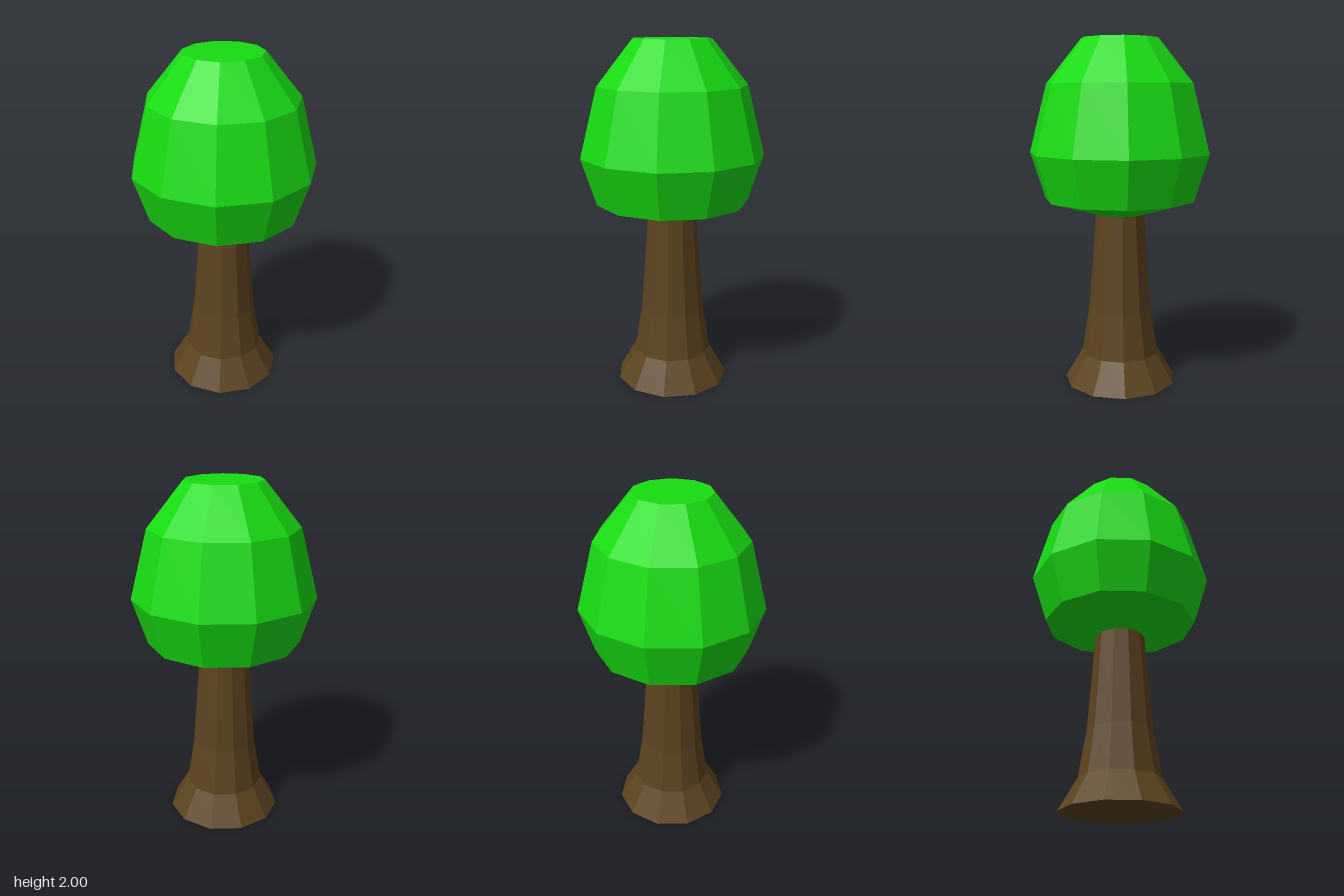
import * as THREE from 'three';

const SIDES = 11;

// Faceted solid of revolution, with one corner pointing to the back
function turned(name, color, profile) {
  const points = profile.map(([r, y]) => new THREE.Vector2(r, y));
  const geometry = new THREE.LatheGeometry(points, SIDES, Math.PI);
  const material = new THREE.MeshStandardMaterial({ color, flatShading: true });
  const mesh = new THREE.Mesh(geometry, material);
  mesh.name = name;
  return mesh;
}

export function createModel() {
  const tree = new THREE.Group();
  tree.name = 'tree';

  // Trunk flares into a wide foot, closed underneath
  tree.add(turned('trunk', 0x5c431f, [
    [0, 0], [0.33, 0], [0.228, 0.175], [0.185, 0.44], [0.143, 1.005],
  ]));

  // Canopy grows out of the trunk top and ends in a flat crown
  tree.add(turned('canopy', 0x18dc12, [
    [0.143, 1.005], [0.437, 1.09], [0.524, 1.36], [0.424, 1.75], [0.221, 2], [0, 2],
  ]));

  // An odd number of sides is off-centre in z, so shift to balance it
  tree.position.z = 0.524 * (1 - Math.cos(Math.PI / SIDES)) / 2;

  const model = new THREE.Group();
  model.add(tree);
  return model;
}
